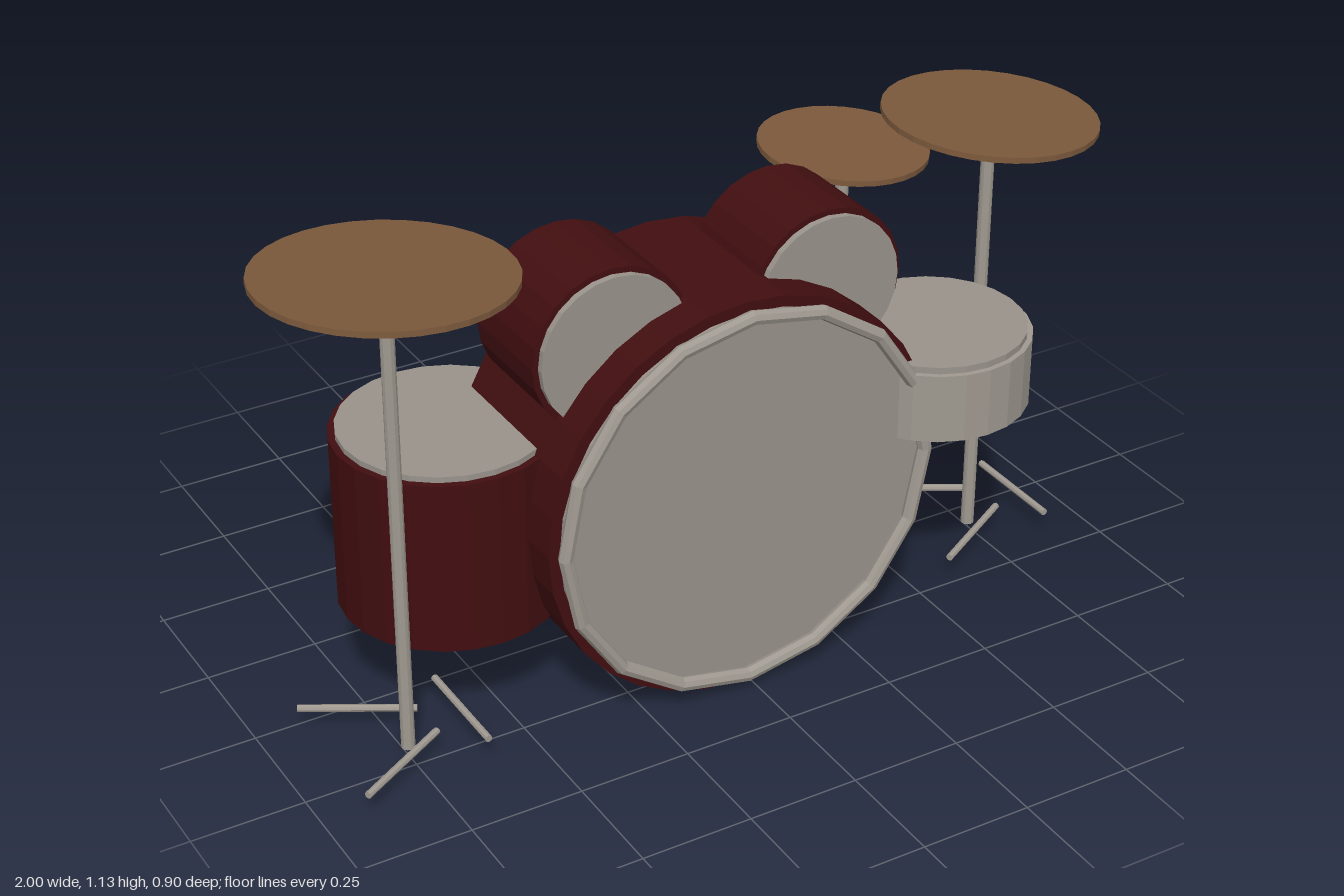
import * as THREE from 'three';

export function createModel() {
  const model = new THREE.Group();
  model.name = 'drumKit';

  const paint = (name, color) => {
    const m = new THREE.MeshStandardMaterial({ color, flatShading: true });
    m.name = name;
    return m;
  };
  const shellRed = paint('shellRed', 0x420e10);
  const headGrey = paint('headGrey', 0x99938b);
  const metal = paint('metal', 0x9f9990);
  const bronze = paint('bronze', 0x7c593c);

  const add = (parent, name, geometry, material, x, y, z) => {
    const mesh = new THREE.Mesh(geometry, material);
    mesh.name = name;
    mesh.position.set(x, y, z);
    parent.add(mesh);
    return mesh;
  };

  // A drum stands along +y from its base, with a thin head on top
  function drum(name, radius, depth, headRadius, headDepth, sides, material) {
    const g = new THREE.Group();
    g.name = name;
    add(g, 'shell', new THREE.CylinderGeometry(radius, radius, depth, sides), material, 0, depth / 2, 0);
    add(g, 'head', new THREE.CylinderGeometry(headRadius, headRadius, headDepth, sides),
      headGrey, 0, depth + headDepth / 2, 0);
    model.add(g);
    return g;
  }

  // Bass drum lying on its side, with a front hoop
  const bass = drum('bassDrum', 0.46, 0.405, 0.435, 0.01, 32, shellRed);
  bass.rotation.x = Math.PI / 2;
  bass.position.set(-0.016, 0.46, -0.072);
  add(model, 'bassHoop', new THREE.TorusGeometry(0.433, 0.016, 8, 16), metal, -0.016, 0.462, 0.355);

  // Pair of toms above the bass drum
  for (const side of [-1, 1]) {
    const tom = drum(side < 0 ? 'rightTom' : 'leftTom', 0.181, 0.235, 0.168, 0.015, 24, shellRed);
    tom.rotation.x = Math.PI / 2;
    tom.position.set(-0.018 + side * 0.253, 0.838, 0);
  }

  // Upright drums
  drum('floorTom', 0.24, 0.395, 0.225, 0.013, 24, shellRed).position.set(-0.545, 0.238, 0.02);
  drum('snareDrum', 0.215, 0.158, 0.203, 0.015, 24, metal).position.set(0.525, 0.497, 0.215);

  // Cymbal on a pole, with three loose feet set round the base
  function cymbalStand(name, x, z, height, radius, tiltX, tiltZ) {
    const g = new THREE.Group();
    g.name = name;
    g.position.set(x, 0, z);
    add(g, 'pole', new THREE.CylinderGeometry(0.015, 0.015, height, 12), metal, 0, height / 2, 0);
    const disc = add(g, 'cymbal', new THREE.CylinderGeometry(radius, radius, 0.013, 32), bronze, 0, height, 0);
    disc.rotation.set(tiltX, 0, tiltZ);
    for (let i = 0; i < 3; i++) {
      const a = (i * Math.PI * 2) / 3;
      const foot = new THREE.CylinderGeometry(0.008, 0.008, 0.25, 8).rotateX(Math.PI / 2);
      add(g, 'foot', foot, metal, 0.125 * Math.cos(a), 0.052, 0.125 * Math.sin(a)).rotation.y = a;
    }
    model.add(g);
  }
  cymbalStand('rightCrash', -0.737, 0.185, 1.103, 0.2635, -0.05, -0.06);
  cymbalStand('leftCrash', 0.7625, 0.058, 1.034, 0.237, 0.01, -0.08);
  cymbalStand('leftRide', 0.595, -0.255, 0.873, 0.194, 0.035, -0.07);

  return model;
}
